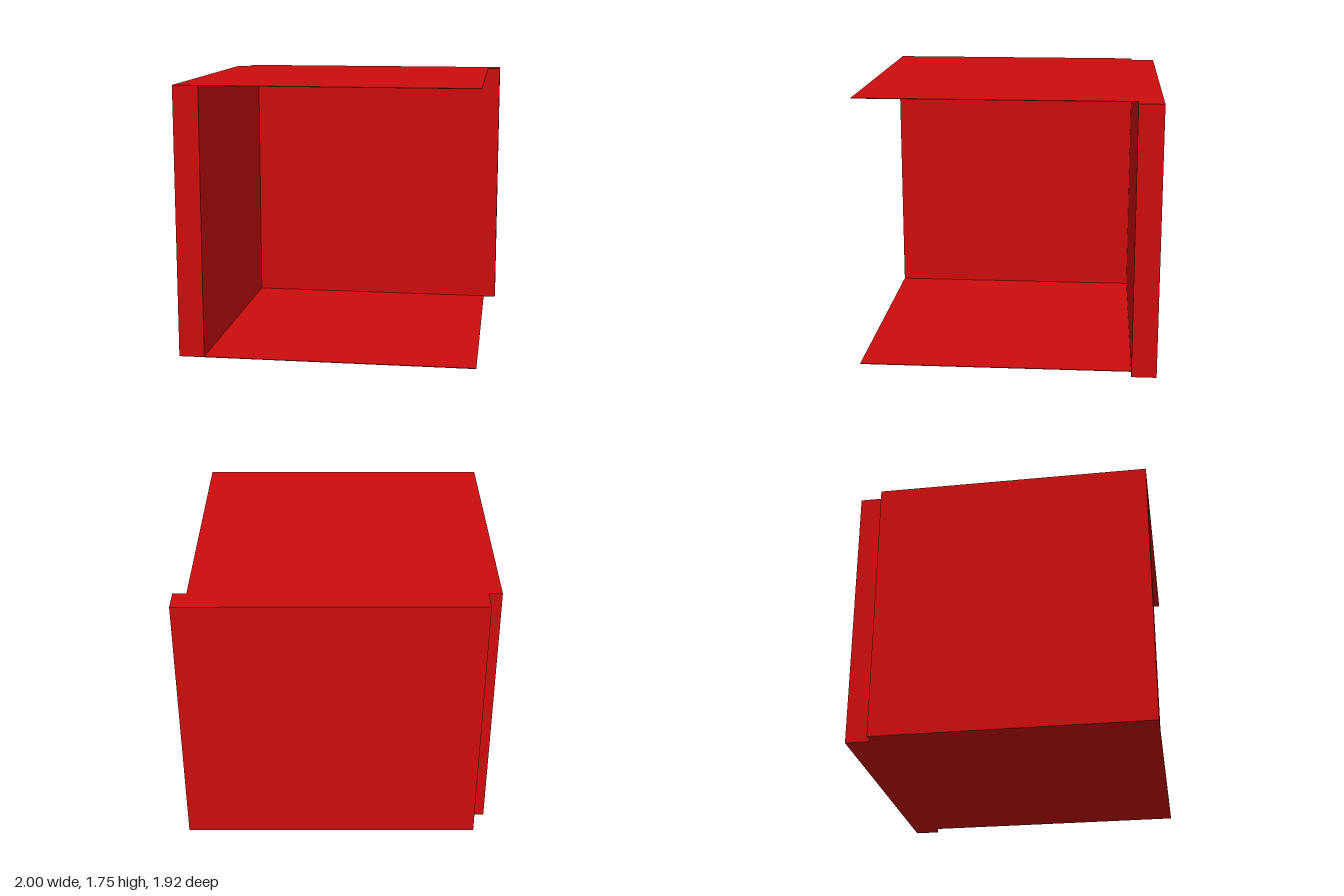
import * as THREE from 'three';

const HEIGHT = 1.755;
const SHEET = 0.004; // thickness of floor and roof

export function createModel() {
  const group = new THREE.Group();
  const red = new THREE.MeshStandardMaterial({ color: 0xcc0d0d });
  red.name = 'red';

  // Box given by its extents along each axis
  function slab(name, [x0, x1], [y0, y1], [z0, z1]) {
    const mesh = new THREE.Mesh(new THREE.BoxGeometry(x1 - x0, y1 - y0, z1 - z0), red);
    mesh.position.set((x0 + x1) / 2, (y0 + y1) / 2, (z0 + z1) / 2);
    mesh.name = name;
    group.add(mesh);
  }

  // Two thick walls, offset from each other at the corner
  slab('backWall', [-0.915, 1], [0, HEIGHT], [-0.96, -0.8]);
  slab('sideWall', [-1, -0.835], [0, HEIGHT], [-0.8, 0.96]);

  // Thin sheets flush with the wall ends; front and left side stay open
  slab('floor', [-0.835, 0.915], [0, SHEET], [-0.8, 0.96]);
  slab('roof', [-0.835, 0.915], [HEIGHT - SHEET, HEIGHT], [-0.8, 0.96]);

  return group;
}
